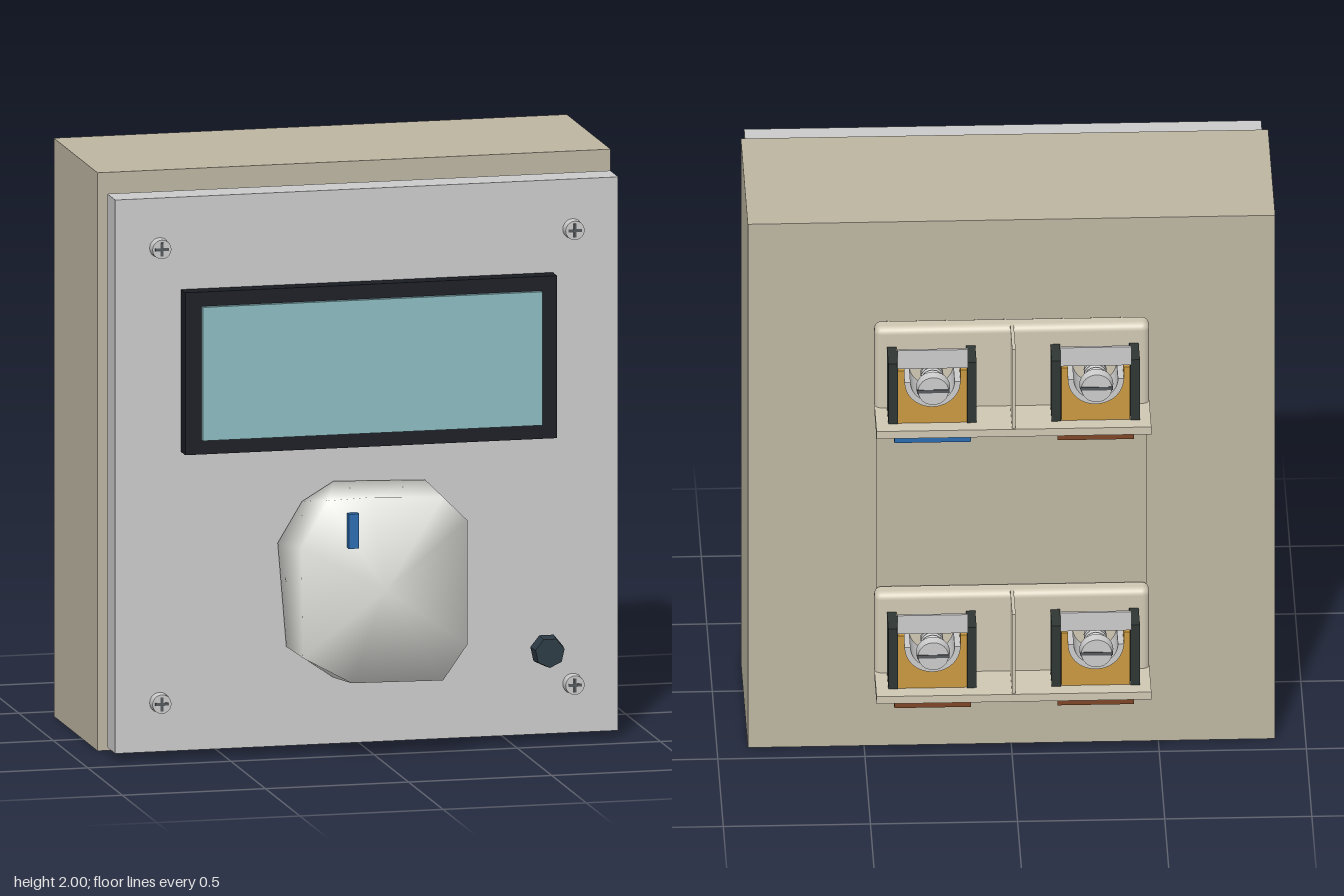
import * as THREE from 'three';
import { RoundedBoxGeometry } from 'three/addons/geometries/RoundedBoxGeometry.js';

const mat = (color, flat = false) => new THREE.MeshStandardMaterial({ color, flatShading: flat });
const M = {
  beige: mat(0xbdb6a2), pale: mat(0xd0c8b4), panel: mat(0xcccccc), metal: mat(0xcccccc), black: mat(0x1b1d24),
  charcoal: mat(0x2f3634), glass: mat(0x8cbcc2), blue: mat(0x2a6cb0), brown: mat(0x7d4526),
  brass: mat(0xc9983f), knob: mat(0xe2e2de), button: mat(0x2c3a44, true), slot: mat(0x55585c),
};

function add(parent, name, geo, material, x = 0, y = 0, z = 0) {
  const m = new THREE.Mesh(geo, material);
  m.name = name;
  m.position.set(x, y, z);
  parent.add(m);
  return m;
}

// Box given by its limits on each axis
function block(parent, name, material, [x0, x1], [y0, y1], [z0, z1], radius = 0) {
  const s = [x1 - x0, y1 - y0, z1 - z0];
  const geo = radius ? new RoundedBoxGeometry(...s, 3, radius) : new THREE.BoxGeometry(...s);
  return add(parent, name, geo, material, (x0 + x1) / 2, (y0 + y1) / 2, (z0 + z1) / 2);
}

// Cylinder lying along z
function disc(parent, name, material, r0, r1, depth, sides, x, y, z) {
  const geo = new THREE.CylinderGeometry(r1, r0, depth, sides).rotateX(Math.PI / 2);
  return add(parent, name, geo, material, x, y, z);
}

// Faceted knob: back and front outlines joined, smooth shared normals
function knobGeometry() {
  const back = [[-0.12, 0.935], [-0.23, 0.87], [-0.315, 0.73], [-0.285, 0.37], [-0.12, 0.255],
    [0.19, 0.275], [0.285, 0.37], [0.285, 0.84], [0.2, 0.925]];
  const front = [[-0.05, 0.925], [-0.2, 0.92], [-0.295, 0.76], [-0.29, 0.38], [-0.12, 0.285],
    [0.2, 0.28], [0.285, 0.4], [0.285, 0.83], [0.2, 0.915]];
  const n = back.length;
  const pos = [];
  back.forEach(([x, y]) => pos.push(x, y, 0.41));
  front.forEach(([x, y]) => pos.push(x, y, 0.67));
  pos.push(0, 0.6, 0.41, 0, 0.6, 0.672);
  const index = [];
  for (let i = 0; i < n; i++) {
    const j = (i + 1) % n;
    index.push(i, j, n + j, i, n + j, n + i, j, i, 2 * n, n + i, n + j, 2 * n + 1);
  }
  const geo = new THREE.BufferGeometry();
  geo.setAttribute('position', new THREE.Float32BufferAttribute(pos, 3));
  geo.setIndex(index);
  geo.computeVertexNormals();
  return geo;
}

// Cross-head screw on the front panel
function panelScrew(parent, x, y) {
  const g = new THREE.Group();
  g.name = 'panelScrew';
  g.position.set(x, y, 0);
  disc(g, 'screwHead', M.metal, 0.035, 0.033, 0.035, 20, 0, 0, 0.4175);
  block(g, 'screwSlot', M.slot, [-0.024, 0.024], [-0.005, 0.005], [0.43, 0.437]);
  block(g, 'screwSlot', M.slot, [-0.005, 0.005], [-0.024, 0.024], [0.43, 0.437]);
  parent.add(g);
}

// Plate with a semicircular trough cut into its top, extruded along z
function cradleGeometry(half, bottom, r, depth) {
  const s = new THREE.Shape();
  s.moveTo(-half, bottom);
  s.lineTo(half, bottom);
  s.lineTo(half, 0.04);
  s.lineTo(r, 0.04);
  s.lineTo(r, 0);
  s.absarc(0, 0, r, 0, -Math.PI, true);
  s.lineTo(-r, 0.04);
  s.lineTo(-half, 0.04);
  s.closePath();
  return new THREE.ExtrudeGeometry(s, { depth, bevelEnabled: false, curveSegments: 16 });
}

function linerGeometry(outer, inner, depth) {
  const s = new THREE.Shape();
  s.absarc(0, 0, outer, 0, -Math.PI, true);
  s.absarc(0, 0, inner, -Math.PI, 0, false);
  s.closePath();
  return new THREE.ExtrudeGeometry(s, { depth, bevelEnabled: false, curveSegments: 16 });
}

// One clamp terminal, local y = 0 at the shelf underside
function terminal(parent, x, tabMaterial) {
  const g = new THREE.Group();
  g.name = 'terminal';
  g.position.x = x;
  const cy = 0.19;
  for (const s of [-1, 1]) {
    const a = s * 0.118, b = s * 0.15;
    block(g, 'terminalCheek', M.charcoal, [Math.min(a, b), Math.max(a, b)], [0.03, 0.26], [-0.625, -0.495]);
  }
  add(g, 'brassCradle', cradleGeometry(0.117, -0.16, 0.095, 0.125), M.brass, 0, cy, -0.62);
  add(g, 'cradleLiner', linerGeometry(0.095, 0.075, 0.13), M.metal, 0, cy, -0.628);
  block(g, 'clampPlate', M.metal, [-0.12, 0.12], [0.245, 0.315], [-0.635, -0.625]);
  // Screw with raised threads and a slotted head
  disc(g, 'terminalScrewShaft', M.metal, 0.03, 0.03, 0.13, 16, 0, cy, -0.61);
  for (let i = 0; i < 5; i++) {
    add(g, 'screwThread', new THREE.TorusGeometry(0.032, 0.007, 6, 16), M.metal, 0, cy, -0.555 - i * 0.02);
  }
  disc(g, 'terminalScrewHead', M.metal, 0.052, 0.058, 0.033, 24, 0, cy, -0.681);
  const slot = block(g, 'terminalScrewSlot', M.slot, [-0.055, 0.055], [-0.006, 0.006], [-0.7, -0.695]);
  slot.position.y = cy;
  block(g, 'colourTab', tabMaterial, [-0.13, 0.13], [-0.04, 0.002], [-0.63, -0.56]);
  parent.add(g);
}

// Pair of terminals on a rounded backing with shelf and divider
function terminalBlock(parent, y, leftTab) {
  const g = new THREE.Group();
  g.name = 'terminalBlock';
  g.position.y = y;
  block(g, 'terminalBacking', M.pale, [-0.467, 0.467], [0, 0.33], [-0.5, -0.425], 0.025);
  block(g, 'terminalShelf', M.pale, [-0.467, 0.467], [0, 0.028], [-0.675, -0.47]);
  block(g, 'terminalDivider', M.pale, [-0.006, 0.006], [0.01, 0.33], [-0.67, -0.47]);
  terminal(g, 0.275, leftTab);
  terminal(g, -0.28, M.brown);
  parent.add(g);
}

export function createModel() {
  const model = new THREE.Group();
  model.name = 'controlBox';

  // Housing and front panel
  block(model, 'housing', M.beige, [-0.897, 0.895], [0, 2], [-0.42, 0.215]);
  block(model, 'gasket', M.black, [-0.873, 0.869], [0.03, 1.93], [0.262, 0.284]);
  block(model, 'frontPanel', M.panel, [-0.88, 0.877], [0.025, 1.94], [0.286, 0.4]);

  // Spacers between the housing and the panel
  block(model, 'spacer', M.black, [0.21, 0.55], [0.48, 0.9], [0.21, 0.268]);
  block(model, 'spacer', M.black, [0.21, 0.55], [0.9, 1.065], [0.21, 0.25]);
  block(model, 'spacer', M.black, [0.21, 0.55], [1.22, 1.37], [0.21, 0.25]);

  // Display
  block(model, 'displayBezel', M.black, [-0.652, 0.646], [1.06, 1.622], [0.41, 0.47]);
  block(model, 'displayGlass', M.glass, [-0.595, 0.591], [1.11, 1.572], [0.465, 0.487]);

  // Knob, pointer and push button
  add(model, 'knob', knobGeometry(), M.knob);
  block(model, 'knobPointer', M.blue, [-0.135, -0.1], [0.755, 0.875], [0.668, 0.697]);
  disc(model, 'pushButton', M.button, 0.058, 0.052, 0.052, 7, 0.61, 0.328, 0.494);

  for (const x of [-0.725, 0.718]) for (const y of [0.195, 1.768]) panelScrew(model, x, y);

  // Rear terminals on a thin mounting plate
  block(model, 'rearPlate', M.beige, [-0.46, 0.46], [0.32, 1.6], [-0.43, -0.415]);
  terminalBlock(model, 1.303, M.blue);
  terminalBlock(model, 0.29, M.brown);
  return model;
}
